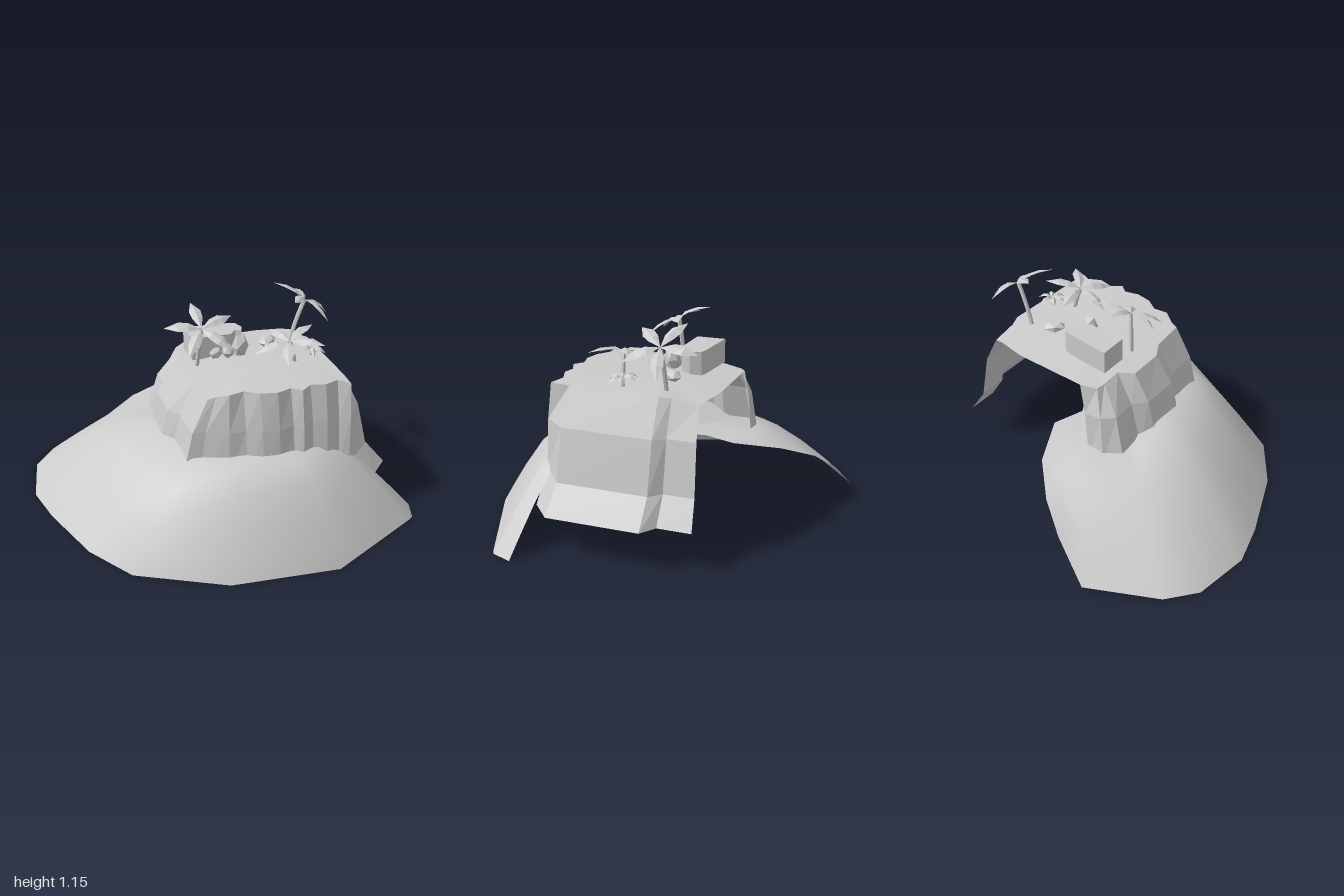
import * as THREE from 'three';

const smoothMat = new THREE.MeshStandardMaterial({ color: 0xcccccc, side: THREE.DoubleSide });
const flatMat = new THREE.MeshStandardMaterial({ color: 0xcccccc, side: THREE.DoubleSide, flatShading: true });

function addMesh(parent, name, geometry, material = flatMat) {
  const mesh = new THREE.Mesh(geometry, material);
  mesh.name = name;
  parent.add(mesh);
  return mesh;
}

function fromPoints(points, index) {
  const g = new THREE.BufferGeometry();
  g.setAttribute('position', new THREE.Float32BufferAttribute(points.flat(), 3));
  g.setIndex(index);
  g.computeVertexNormals();
  return g;
}

// Open sheet from rows of points, lowest row first
function sheet(rows) {
  const n = rows[0].length, index = [];
  for (let r = 0; r < rows.length - 1; r++) {
    for (let c = 0; c < n - 1; c++) {
      const a = r * n + c, b = a + 1, d = a + n, e = d + 1;
      index.push(a, b, e, a, e, d);
    }
  }
  return fromPoints(rows.flat(), index);
}

// Sloping shore: outer x, y, z and inner x, z of each column
const SHORE = [
  [0.16, 0.44, -0.37, 0.1, -0.2], [0.05, 0.4, -0.61, 0.06, -0.2],
  [-0.1, 0.32, -0.76, 0.03, -0.2], [-0.25, 0.21, -0.85, 0, -0.2],
  [-0.45, 0.03, -0.92, -0.03, -0.18], [-0.81, 0, -0.72, -0.05, -0.14],
  [-0.94, 0, -0.57, -0.05, -0.1], [-1, 0, -0.26, -0.05, 0],
  [-0.95, 0, -0.03, -0.05, 0.1], [-0.82, 0, 0.35, -0.05, 0.2],
  [-0.65, 0, 0.61, -0.03, 0.3], [-0.2, 0, 0.85, 0.05, 0.38],
  [0.38, 0, 0.92, 0.25, 0.4], [0.93, 0, 0.67, 0.23, 0.38], [0.96, 0, 0.65, 0.22, 0.37],
  [1, 0, 0.54, 0.2, 0.36],
];
const SHORE_PROFILE = [[0, 0], [0.12, 0.22], [0.25, 0.45], [0.45, 0.76], [0.67, 0.97], [1, 1]];
const shoreTop = (z) => (z < -0.3 ? 0.44 : 0.5);

// Cliff columns: top x, z, foot x, z and, where the foot bends away, its own point
const CLIFF = [
  [-0.03, -0.37, -0.15, -0.42, [-0.15, 0.34, -0.41]], [-0.11, -0.33, -0.27, -0.47, [-0.27, 0.33, -0.42]],
  [-0.12, -0.28, -0.43, -0.4, [-0.43, 0.22, -0.36]], [-0.13, -0.18, -0.41, -0.19],
  [-0.2, -0.12, -0.45, -0.1], [-0.2, 0.08, -0.47, 0.12], [-0.16, 0.16, -0.41, 0.17],
  [-0.15, 0.35, -0.41, 0.4], [-0.11, 0.36, -0.29, 0.42], [-0.05, 0.4, -0.08, 0.49],
  [0.03, 0.39, 0.03, 0.53], [0.1, 0.44, 0.12, 0.55], [0.19, 0.46, 0.21, 0.55],
  [0.27, 0.44, 0.3, 0.55], [0.32, 0.48, 0.34, 0.56], [0.38, 0.44, 0.41, 0.55],
  [0.46, 0.46, 0.48, 0.56], [0.54, 0.43, 0.56, 0.54],
  [0.6, 0.47, 0.61, 0.54, [0.78, 0.22, 0.49]], [0.61, 0.36, 0.9, 0.38],
  [0.62, -0.12, 0.9, -0.12], [0.6, -0.18, 0.82, -0.18], [0.6, -0.32, 0.82, -0.36],
];

const topY = (x, z) => 0.84 - 0.33 * Math.max(0, -0.04 - x) - 0.2 * Math.max(0, -z - 0.12)
  - 0.2 * Math.max(0, x - 0.52);

const cliffRow = (f, y) => CLIFF.map(([tx, tz, bx, bz]) =>
  [tx + (bx - tx) * f, y ?? topY(tx, tz), tz + (bz - tz) * f]);
const cliffFoot = () => CLIFF.map(([, , x, z, bent]) => bent ?? [x, 0.22, z]);

// Folded, drooping leaf along +x
function leafGeometry(len, w) {
  return fromPoints([
    [0, 0, 0], [len * 0.35, 0.008, w * 0.9], [len * 0.35, 0.02, 0], [len * 0.35, 0.008, -w * 0.9],
    [len * 0.62, 0.004, w], [len * 0.65, 0.014, 0], [len * 0.62, 0.004, -w], [len, -0.015, 0],
  ], [0, 1, 2, 0, 2, 3, 1, 4, 5, 1, 5, 2, 2, 5, 6, 2, 6, 3, 4, 7, 5, 5, 7, 6]);
}

function leafCrown(parent, name, position, normal, count, len, width, turn) {
  const crown = new THREE.Group();
  crown.name = name;
  crown.position.set(...position);
  crown.quaternion.setFromUnitVectors(new THREE.Vector3(0, 1, 0), new THREE.Vector3(...normal).normalize());
  const leaf = leafGeometry(len, width);
  for (let i = 0; i < count; i++) {
    addMesh(crown, 'leaf', leaf).rotation.y = turn + (i * Math.PI * 2) / count;
  }
  parent.add(crown);
}

function palm(parent, base, head, normal, turn) {
  const tree = new THREE.Group();
  tree.name = 'palmTree';
  const a = new THREE.Vector3(...base), b = new THREE.Vector3(...head);
  const bend = new THREE.Vector3((a.x * 2 + b.x) / 3, (a.y + b.y) / 2, (a.z * 2 + b.z) / 3);
  const path = new THREE.QuadraticBezierCurve3(a, bend, b);
  addMesh(tree, 'palmTrunk', new THREE.TubeGeometry(path, 5, 0.012, 6));
  leafCrown(tree, 'palmCrown', head, normal, 5, 0.2, 0.032, turn);
  parent.add(tree);
}

function boulder(parent, x, y, z, sx, sy, sz, turn) {
  const rock = addMesh(parent, 'boulder', new THREE.IcosahedronGeometry(1, 0));
  rock.position.set(x, y, z);
  rock.scale.set(sx, sy, sz);
  rock.rotation.y = turn;
}

export function createModel() {
  const island = new THREE.Group();
  island.name = 'island';

  // Shore, with a ledge reaching under the plateau from the back
  const slope = SHORE_PROFILE.map(([t, h]) => SHORE.map(([x, y, z, ix, iz]) =>
    [x + (ix - x) * t, y + (shoreTop(z) - y) * h, z + (iz - z) * t]));
  const ledge = SHORE.map(([, , z, ix, iz], i) => (i < 8 ? [0.22, 0.48, 0.05] : [ix, shoreTop(z), iz]));
  addMesh(island, 'shore', sheet([...slope, ledge]), smoothMat);

  // Cliff wall, open at the back
  addMesh(island, 'cliffWall', sheet([cliffFoot(), cliffRow(0.58, 0.36), cliffRow(0.34, 0.63), cliffRow(0)]));

  // Plateau, a fan around its highest point
  const rim = [...cliffRow(0), ...[[0.54, -0.33], [0.39, -0.36]].map(([x, z]) => [x, topY(x, z), z])];
  const n = rim.length;
  addMesh(island, 'plateau', fromPoints([...rim, [0.22, 0.845, 0.05]],
    rim.flatMap((_, i) => [i, (i + 1) % n, n])), smoothMat);

  // Rock slab: outline drawn in x and -z, raised upward
  const outline = [[-0.09, 0.08], [0.13, 0.07], [0.17, 0.11], [0.2, 0.09], [0.22, 0.14], [0.2, 0.2], [0.16, 0.21], [-0.09, 0.24]];
  const slab = new THREE.ExtrudeGeometry(
    new THREE.Shape(outline.map(([x, y]) => new THREE.Vector2(x, y))), { depth: 0.13, bevelEnabled: false });
  slab.rotateX(-Math.PI / 2).translate(0, 0.81, 0);
  addMesh(island, 'rockSlab', slab);

  // Boulders
  boulder(island, 0.17, 0.88, -0.03, 0.05, 0.08, 0.045, 0.4);
  boulder(island, 0.1, 0.86, -0.03, 0.045, 0.04, 0.035, 1.1);
  boulder(island, 0.03, 0.86, -0.03, 0.04, 0.035, 0.03, 0.2);
  boulder(island, 0.36, 0.85, -0.1, 0.065, 0.03, 0.045, 0.7);

  // Palms
  palm(island, [-0.09, 0.82, 0], [-0.07, 1.04, 0.02], [-0.05, 0.9, 0.45], Math.PI / 2);
  palm(island, [0.42, 0.82, 0.15], [0.38, 0.96, 0.16], [-0.25, 1, 0.05], 0.49);
  palm(island, [0.51, 0.82, -0.12], [0.59, 1.06, -0.12], [0.55, 0.85, 0.05], 0.17);

  // Low plant
  leafCrown(island, 'lowPlant', [0.54, 0.87, 0.1], [0, 1, 0.1], 6, 0.085, 0.015, 0.3);
  addMesh(island, 'plantStem', new THREE.CylinderGeometry(0.008, 0.01, 0.05, 5)).position.set(0.54, 0.85, 0.1);

  return island;
}
